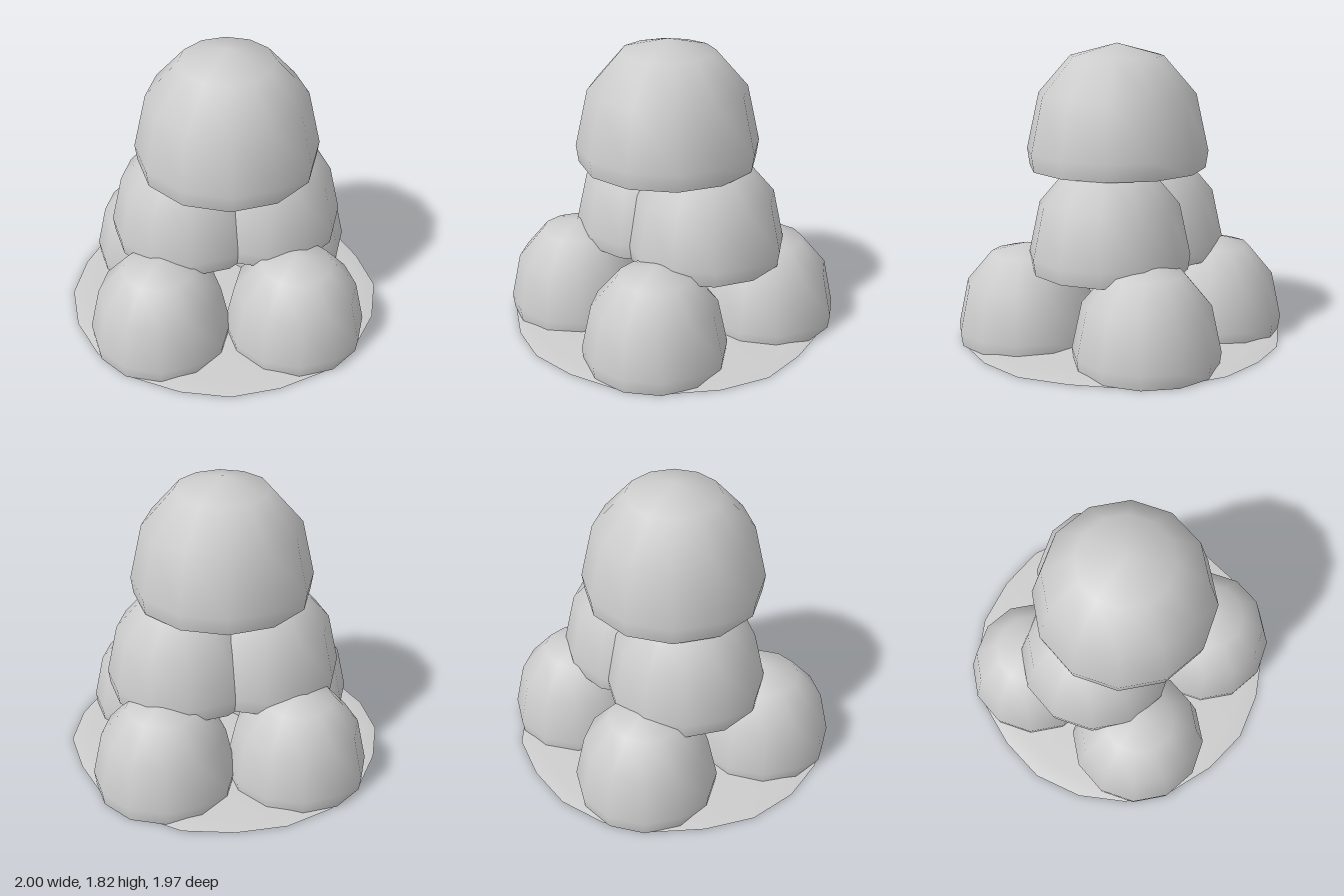
import * as THREE from 'three';

const stone = new THREE.MeshStandardMaterial({ color: 0xcccccc });
stone.name = 'plain grey';

// Smooth lathed shell with a straight-up normal at its pole
function shell(points, segments) {
  const geo = new THREE.LatheGeometry(points.map(([r, y]) => new THREE.Vector2(r, y)), segments);
  const n = geo.attributes.normal;
  for (let i = points.length - 1; i < n.count; i += points.length) n.setXYZ(i, 0, 1, 0);
  return geo;
}

// Dome profile as fractions of radius and height
const profile = [[0.973, 0], [1, 0.14], [0.863, 0.6], [0.51, 0.9], [0, 1]];

function dome(name, x, y, z, radius, height) {
  const group = new THREE.Group();
  group.name = name;
  const side = new THREE.Mesh(shell(profile.map(([r, h]) => [r * radius, h * height]), 12), stone);
  side.name = 'domeShell';
  const under = new THREE.Mesh(new THREE.CircleGeometry(0.973 * radius, 12).rotateX(Math.PI / 2), stone);
  under.name = 'domeUnderside';
  group.add(side, under);
  group.position.set(x, y, z);
  return group;
}

// Rim radii of the base, every 18 degrees from +x towards +z
const rim = [1, 0.99, 0.985, 0.98, 0.968, 0.98, 0.975, 0.99, 1, 1,
  1, 0.98, 0.99, 1, 1, 0.99, 1.005, 0.99, 0.98, 0.97];

// Makes the round base slightly irregular
function roughen(geo) {
  const p = geo.attributes.position;
  for (let i = 0; i < p.count; i++) {
    const step = Math.round(Math.atan2(p.getZ(i), p.getX(i)) / (Math.PI / 10));
    const k = rim[(step + 20) % 20];
    p.setXYZ(i, p.getX(i) * k, p.getY(i), p.getZ(i) * k);
  }
  return geo;
}

export function createModel() {
  const model = new THREE.Group();
  model.name = 'stackedDomes';

  // Thin, slightly bulging ground plate
  const base = new THREE.Group();
  base.name = 'basePlate';
  const top = new THREE.Mesh(roughen(shell([[1, 0], [0.9, 0.018], [0.5, 0.034], [0, 0.04]], 20)), stone);
  top.name = 'baseTop';
  const bottom = new THREE.Mesh(roughen(new THREE.CircleGeometry(1, 20).rotateX(Math.PI / 2)), stone);
  bottom.name = 'baseUnderside';
  base.add(top, bottom);
  model.add(base);

  // Four domes on the ground, two above them, one on top
  model.add(
    dome('lowerDomeFrontRight', -0.415, 0, 0.418, 0.437, 0.61),
    dome('lowerDomeFrontLeft', 0.423, 0, 0.405, 0.437, 0.61),
    dome('lowerDomeBackRight', -0.415, 0, -0.42, 0.437, 0.61),
    dome('lowerDomeBackLeft', 0.4, 0, -0.468, 0.437, 0.61),
    dome('middleDomeRight', -0.22, 0.49, -0.035, 0.49, 0.67),
    dome('middleDomeLeft', 0.25, 0.49, -0.095, 0.487, 0.67),
    dome('topDome', 0.015, 1.065, 0.017, 0.56, 0.755),
  );
  return model;
}
